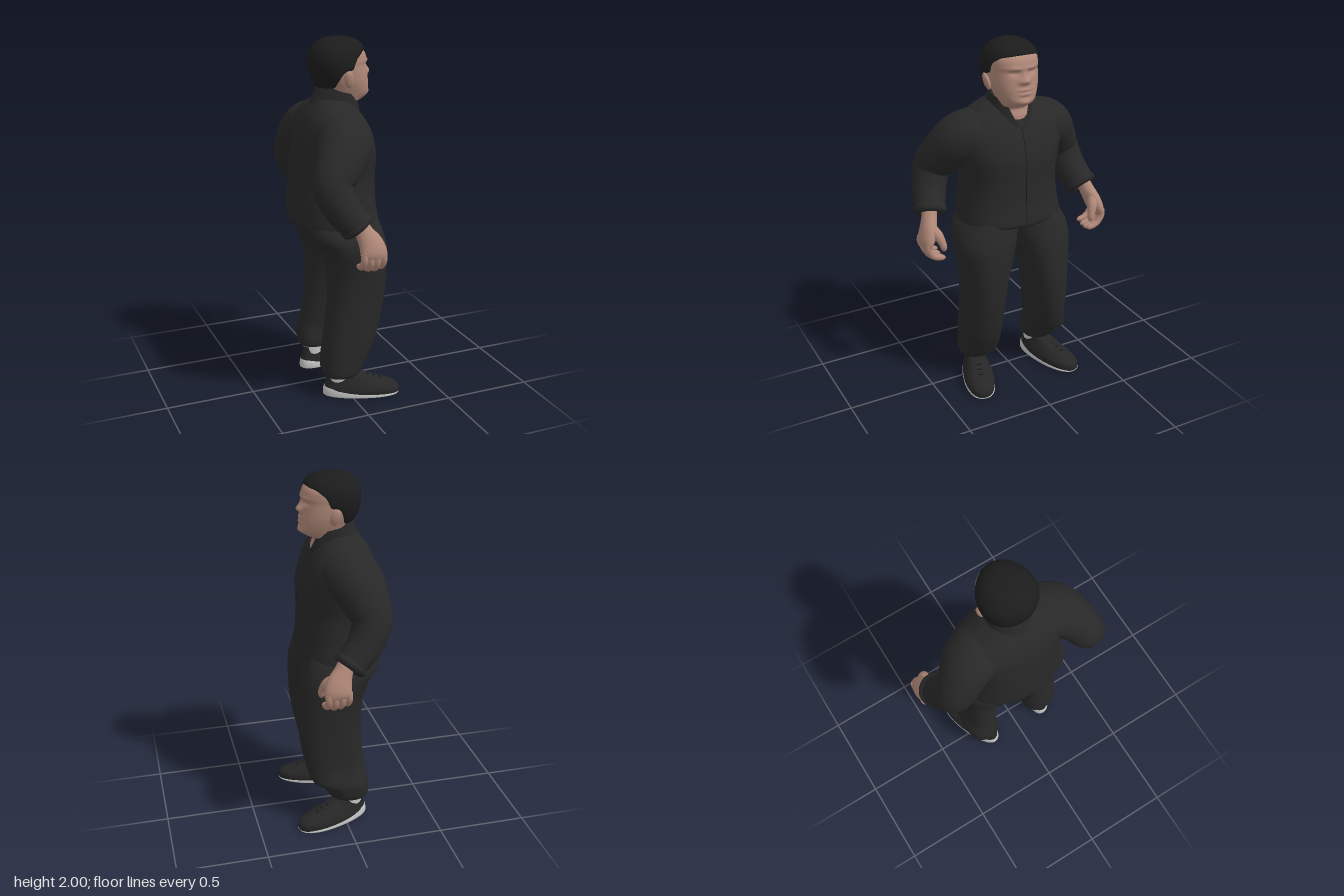
import * as THREE from 'three';

const mat = (name, color) => {
  const m = new THREE.MeshStandardMaterial({ color });
  m.name = name;
  return m;
};

// Catmull-Rom blend of a list of number rows, t from 0 to 1
function blend(rows, t) {
  const n = rows.length - 1, f = Math.min(t, 1) * n, i = Math.min(Math.floor(f), n - 1), u = f - i;
  const [a, b, c, d] = [i - 1, i, i + 1, i + 2].map(k => rows[Math.max(0, Math.min(n, k))]);
  return b.map((_, k) => 0.5 * (2 * b[k] + (c[k] - a[k]) * u + (2 * a[k] - 5 * b[k] + 4 * c[k] - d[k]) * u * u
    + (3 * b[k] - a[k] - 3 * c[k] + d[k]) * u * u * u));
}

// Skin over rings: point(angle fraction, height fraction) gives a Vector3
function skin(point, segs, steps, { closed = true, caps = true } = {}) {
  const pos = [], idx = [], w = closed ? segs : segs + 1;
  for (let j = 0; j <= steps; j++)
    for (let i = 0; i < w; i++) pos.push(...point(i / segs, j / steps).toArray());
  for (let j = 0; j < steps; j++)
    for (let i = 0; i < segs; i++) {
      const a = j * w + i, b = j * w + (i + 1) % w;
      idx.push(a, b, b + w, a, b + w, a + w);
    }
  if (caps) for (const j of [0, steps]) {
    const c = new THREE.Vector3(), first = pos.length / 3;
    for (let i = 0; i < w; i++) {
      const p = point(i / segs, j / steps);
      c.addScaledVector(p, 1 / w);
      pos.push(...p.toArray());
    }
    pos.push(...c.toArray());
    for (let i = 0; i < w; i++) {
      const a = first + i, b = first + (i + 1) % w;
      idx.push(...(j ? [a, b, first + w] : [b, a, first + w]));
    }
  }
  const g = new THREE.BufferGeometry();
  g.setAttribute('position', new THREE.Float32BufferAttribute(pos, 3));
  g.setIndex(idx);
  g.computeVertexNormals();
  return g;
}

// Horizontal sections: [y, back x, front x, min z, max z], bottom to top
const se = (v, p) => Math.sign(v) * Math.pow(Math.abs(v), 2 / p);
function loft(rows, power = 2.3, segs = 40, steps = 36) {
  return skin((u, v) => {
    const [y, x0, x1, z0, z1] = blend(rows, v), a = u * Math.PI * 2;
    return new THREE.Vector3((x0 + x1) / 2 + (x1 - x0) / 2 * se(Math.sin(a), power), y,
      (z0 + z1) / 2 + (z1 - z0) / 2 * se(Math.cos(a), power));
  }, segs, steps);
}

// Limb along a path: [x, y, z, radius along x, other radius]
function limb(rows, segs = 20, steps = 24) {
  const at = t => new THREE.Vector3(...blend(rows, t).slice(0, 3));
  return skin((u, v) => {
    const r = blend(rows, v), a = u * Math.PI * 2;
    const t = at(Math.min(1, v + 0.02)).sub(at(Math.max(0, v - 0.02))).normalize();
    const n = new THREE.Vector3(1, 0, 0).addScaledVector(t, -t.x).normalize();
    const b = t.clone().cross(n);
    return at(v).addScaledVector(n, Math.cos(a) * r[3]).addScaledVector(b, Math.sin(a) * (r[4] ?? r[3]));
  }, segs, steps);
}

const sym = rows => rows.map(([y, b, f, z]) => [y, b, f, -z, z]);
const lerp = THREE.MathUtils.lerp;

export function createModel() {
  const model = new THREE.Group();
  const cloth = mat('charcoal cloth', 0x282828), hairM = mat('black hair', 0x1c1c1c);
  const skinM = mat('skin', 0xb08878), shoeM = mat('shoe fabric', 0x262626);
  const soleM = mat('grey sole', 0xc4c4c4), sockM = mat('pale sock', 0xc8c8c8);
  const collarM = mat('jacket collar', 0x272727), seamM = mat('dark seam', 0x1c1c1c);
  collarM.side = THREE.DoubleSide;
  const add = (name, geo, m, parent = model) => {
    const mesh = new THREE.Mesh(geo, m);
    mesh.name = name;
    parent.add(mesh);
    return mesh;
  };

  // Jacket body
  add('jacket', loft(sym([[0.995, -0.245, 0.215, 0.286], [1.02, -0.25, 0.226, 0.294], [1.12, -0.25, 0.212, 0.28],
    [1.25, -0.24, 0.208, 0.268], [1.38, -0.225, 0.207, 0.29], [1.49, -0.21, 0.178, 0.31], [1.57, -0.185, 0.14, 0.285],
    [1.63, -0.15, 0.098, 0.2], [1.685, -0.1, 0.05, 0.1]]), 2.35, 56, 50), cloth);
  add('zip', limb([[0.228, 1.01, 0, 0.002], [0.213, 1.12, 0, 0.002], [0.209, 1.25, 0, 0.002], [0.208, 1.38, 0, 0.002],
    [0.179, 1.49, 0, 0.002], [0.15, 1.55, 0, 0.002]], 6, 24), seamM);

  // Standing collar, open in a V at the front
  add('collar', skin((u, v) => {
    const gap = 0.03 + 0.62 * v, a = gap + u * (Math.PI * 2 - 2 * gap), c = Math.cos(a), back = (1 - c) / 2;
    const y = lerp(lerp(1.535, 1.62, back), lerp(1.685, 1.755, back), v);
    const rx = c > 0 ? lerp(0.155, 0.128, v) : lerp(0.15, 0.085, v);
    return new THREE.Vector3(c * rx, y, Math.sin(a) * lerp(0.15, 0.114, Math.sqrt(v)));
  }, 48, 10, { closed: false, caps: false }), collarM);

  // Head and neck, with features pushed out or in: [y, z, height, width, depth]
  const head = loft(sym([[1.53, -0.05, 0.13, 0.085], [1.6, -0.05, 0.13, 0.09], [1.645, -0.05, 0.12, 0.09],
    [1.67, -0.05, 0.165, 0.088], [1.695, -0.05, 0.193, 0.097], [1.73, -0.06, 0.193, 0.112], [1.77, -0.08, 0.188, 0.125],
    [1.81, -0.1, 0.182, 0.131], [1.85, -0.11, 0.176, 0.133], [1.88, -0.11, 0.178, 0.134], [1.92, -0.11, 0.165, 0.13],
    [1.955, -0.09, 0.125, 0.1], [1.97, -0.05, 0.07, 0.05]]), 2.2, 96, 90);
  const features = [[1.81, 0, 0.02, 0.022, 0.024], [1.84, 0, 0.024, 0.015, 0.012], [1.805, 0.022, 0.013, 0.013, 0.009],
    [1.805, -0.022, 0.013, 0.013, 0.009], [1.848, 0.05, 0.013, 0.026, -0.011], [1.848, -0.05, 0.013, 0.026, -0.011],
    [1.873, 0.045, 0.011, 0.034, 0.006], [1.873, -0.045, 0.011, 0.034, 0.006], [1.762, 0, 0.009, 0.034, 0.008],
    [1.752, 0, 0.004, 0.035, -0.004], [1.74, 0, 0.009, 0.03, 0.006], [1.722, 0, 0.01, 0.034, -0.004],
    [1.692, 0, 0.016, 0.03, 0.008]];
  const hp = head.attributes.position;
  for (let i = 0; i < hp.count; i++) {
    if (hp.getX(i) < 0.06) continue;
    let d = 0;
    for (const [y, z, h, w, k] of features)
      d += k * Math.exp(-(((hp.getY(i) - y) / h) ** 2) - ((hp.getZ(i) - z) / w) ** 2);
    hp.setX(i, hp.getX(i) + d);
  }
  head.computeVertexNormals();
  add('head', head, skinM);

  // Hair shell, its lower edge following the hairline: [cosine from front, y]
  const line = [[-1, 1.735], [-0.35, 1.74], [-0.05, 1.815], [0.1, 1.835], [0.3, 1.835], [0.42, 1.89], [0.7, 1.925], [1, 1.94]];
  const edge = c => {
    const k = Math.max(1, line.findIndex(p => p[0] >= c - 1e-6)), [a, b] = [line[k - 1], line[k]];
    return lerp(a[1], b[1], (c - a[0]) / (b[0] - a[0]));
  };
  add('hair', skin((u, v) => {
    const a = u * Math.PI * 2, c = Math.sin(a), y0 = edge(c), p = 2.1 + 0.7 * Math.max(0, c);
    const lift = Math.max(0, (v - 0.05) / 0.95), y = y0 + (2 - y0) * Math.sin(lift * Math.PI / 2);
    const f = y > 1.87 ? Math.pow(Math.max(0, 1 - ((y - 1.87) / 0.13) ** p), 1 / p) : Math.sqrt(1 - ((1.87 - y) / 0.185) ** 2);
    const r = f * (v < 0.01 ? 0.82 : 1);
    return new THREE.Vector3(c * r * (c > 0 ? 0.178 : 0.14), y, Math.cos(a) * r * 0.154);
  }, 80, 20, { caps: false }), hairM);

  // Trousers: one leg per side, the right one bunched forward above the hem
  const legs = {
    1: [[0.125, -0.13, 0.05, 0.095, 0.285], [0.15, -0.147, 0.075, 0.08, 0.3], [0.22, -0.15, 0.115, 0.075, 0.302],
      [0.32, -0.142, 0.16, 0.078, 0.308], [0.46, -0.122, 0.195, 0.075, 0.31], [0.6, -0.108, 0.22, 0.07, 0.312],
      [0.75, -0.112, 0.23, 0.04, 0.326], [0.87, -0.145, 0.228, 0.005, 0.343], [0.96, -0.205, 0.212, -0.02, 0.322],
      [1.05, -0.21, 0.19, -0.02, 0.26]],
    '-1': [[0.145, -0.13, 0.06, -0.29, -0.125], [0.17, -0.14, 0.085, -0.315, -0.118], [0.235, -0.14, 0.13, -0.328, -0.122],
      [0.275, -0.135, 0.185, -0.328, -0.122], [0.36, -0.12, 0.215, -0.306, -0.11], [0.48, -0.105, 0.24, -0.303, -0.09],
      [0.6, -0.1, 0.25, -0.306, -0.07], [0.75, -0.11, 0.245, -0.316, -0.04], [0.87, -0.145, 0.232, -0.33, -0.005],
      [0.96, -0.205, 0.212, -0.317, 0.02], [1.05, -0.21, 0.19, -0.26, 0.02]],
  };
  // Sleeve paths from inside the chest: [x, y, distance from centre, radius along x, other radius]
  const shoulder = [[-0.01, 1.48, 0.06, 0.11, 0.1], [-0.02, 1.5, 0.17, 0.15, 0.13], [-0.05, 1.465, 0.265, 0.15, 0.137]];
  const sleeves = {
    1: [...shoulder, [-0.115, 1.38, 0.34, 0.128, 0.118], [-0.165, 1.29, 0.385, 0.108, 0.105],
      [-0.13, 1.18, 0.42, 0.096, 0.094], [-0.06, 1.085, 0.45, 0.086, 0.084]],
    '-1': [...shoulder, [-0.085, 1.38, 0.342, 0.126, 0.118], [-0.1, 1.29, 0.39, 0.108, 0.105],
      [-0.05, 1.18, 0.425, 0.096, 0.094], [0.03, 1.095, 0.455, 0.086, 0.084]],
  };

  for (const s of [1, -1]) {
    const side = s > 0 ? 'near' : 'far';
    add(side + 'TrouserLeg', loft(legs[s], 2.3, 44, 50), cloth);

    // Sleeve and rolled cuff
    const path = sleeves[s].map(([x, y, z, ...r]) => [x, y, z * s, ...r]);
    add(side + 'Sleeve', limb(path, 36, 48), cloth);
    const end = new THREE.Vector3(...path[6]), dir = end.clone().sub(new THREE.Vector3(...path[5])).normalize();
    const cuff = add(side + 'Cuff', new THREE.TorusGeometry(0.067, 0.026, 12, 32), cloth);
    cuff.position.copy(end);
    cuff.quaternion.setFromUnitVectors(new THREE.Vector3(0, 0, 1), dir);

    // Hand: palm, four curled fingers and a thumb
    const hand = new THREE.Group();
    hand.name = side + 'Hand';
    model.add(hand);
    const ox = s > 0 ? 0 : 0.095, oy = s > 0 ? 0 : 0.022;
    const flesh = (name, rows, segs = 12) =>
      add(name, limb(rows.map(([x, y, z, ...r]) => [x + ox, y + oy, z * s, ...r]), segs, 16), skinM, hand);
    flesh('palm', [[-0.05, 1.1, 0.455, 0.045, 0.04], [-0.025, 1.05, 0.472, 0.05, 0.04], [0.005, 0.99, 0.494, 0.068, 0.042],
      [0.015, 0.94, 0.512, 0.074, 0.036], [0.015, 0.905, 0.517, 0.062, 0.016]], 24);
    for (let i = 0; i < 4; i++) {
      const x = -0.042 + i * 0.036, d = [0.015, 0.003, 0, 0.008][i];
      flesh('finger', [[x, 0.945, 0.518, 0.02], [x, 0.9 + d, 0.52, 0.02], [x, 0.862 + d, 0.498, 0.019],
        [x + 0.003, 0.845 + d, 0.466, 0.017], [x + 0.005, 0.84 + d, 0.436, 0.014], [x + 0.005, 0.838 + d, 0.425, 0.005]]);
    }
    flesh('thumb', [[0.02, 1.02, 0.482, 0.025], [0.06, 0.985, 0.462, 0.028], [0.08, 0.945, 0.446, 0.022],
      [0.086, 0.912, 0.438, 0.018], [0.086, 0.892, 0.437, 0.006]]);

    // Shoe, turned outwards
    const shoe = new THREE.Group();
    shoe.name = side + 'Shoe';
    shoe.position.set(0.065, 0, s * 0.236);
    shoe.rotation.y = -s * 0.3;
    model.add(shoe);
    const sole = loft(sym([[0, -0.2, 0.205, 0.08], [0.006, -0.212, 0.222, 0.089], [0.035, -0.212, 0.224, 0.089],
      [0.055, -0.206, 0.215, 0.084]]), 2.4, 40, 10);
    const upper = loft(sym([[0.008, -0.205, 0.224, 0.087], [0.04, -0.208, 0.222, 0.088], [0.06, -0.203, 0.195, 0.082],
      [0.085, -0.198, 0.13, 0.07], [0.11, -0.195, 0.06, 0.058], [0.135, -0.195, -0.01, 0.052]]), 2.3, 40, 24);
    // Sole thins towards the toe, and both narrow at the heel
    for (const [g, thin] of [[sole, true], [upper, false]]) {
      const p = g.attributes.position;
      for (let i = 0; i < p.count; i++) {
        const t = THREE.MathUtils.clamp((p.getX(i) + 0.21) / 0.43, 0, 1);
        p.setZ(i, p.getZ(i) * (0.82 + 0.18 * Math.sin(Math.min(1, t * 1.4) * Math.PI / 2)));
        if (thin) p.setY(i, p.getY(i) * (1 - 0.8 * t));
      }
      g.computeVertexNormals();
    }
    add('sole', sole, soleM, shoe);
    add('upper', upper, shoeM, shoe);
    const sock = add('sock', new THREE.CylinderGeometry(0.066, 0.06, 0.1, 24), sockM, shoe);
    sock.position.set(-0.11, 0.135, 0);
    sock.scale.set(1.25, 1, 0.9);
    for (let i = 0; i < 3; i++) {
      const x = 0.045 + i * 0.033, y = 0.117 - i * 0.012;
      add('lace', limb([[x - 0.02, y - 0.02, -0.04, 0.004], [x, y, 0, 0.005], [x - 0.02, y - 0.02, 0.04, 0.004]], 6, 10), seamM, shoe);
    }

    // Ear
    const ear = add(side + 'Ear', new THREE.SphereGeometry(1, 16, 12), skinM);
    ear.scale.set(0.027, 0.048, 0.016);
    ear.position.set(0.03, 1.787, s * 0.142);
    ear.rotation.set(s * 0.25, 0, 0.2);
  }
  return model;
}
